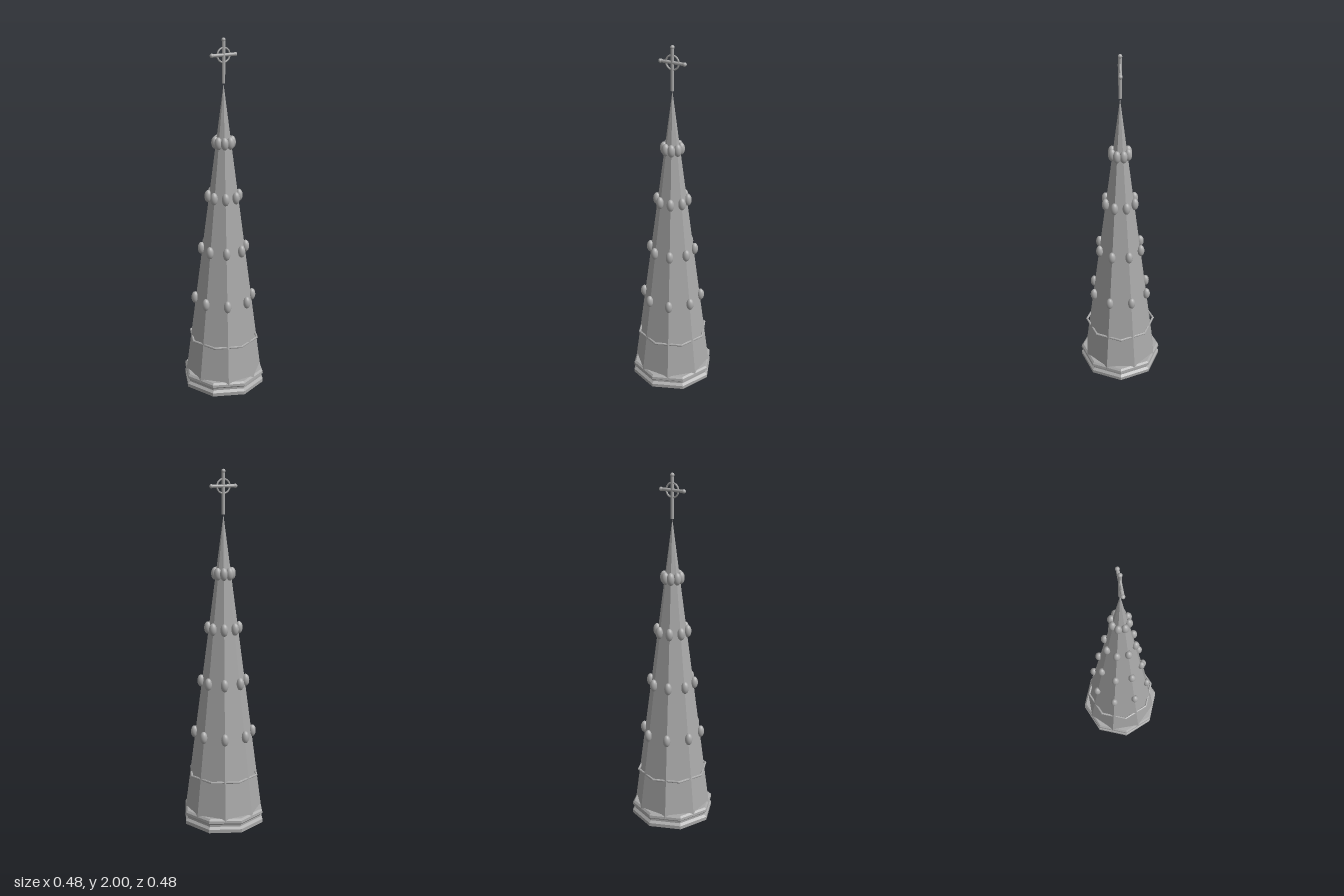
import * as THREE from 'three';

export function createModel() {
  const model = new THREE.Group();
  model.name = 'spire';

  const stone = new THREE.MeshStandardMaterial({ color: 0xa8a8a8 });
  stone.name = 'grey stone';
  const facetedStone = stone.clone();
  facetedStone.name = 'faceted grey stone';
  facetedStone.flatShading = true;

  const add = (name, geometry, material = stone, parent = model) => {
    const mesh = new THREE.Mesh(geometry, material);
    mesh.name = name;
    parent.add(mesh);
    return mesh;
  };

  // Moulded octagonal plinth, corners on the axes
  const plinthProfile = [
    [0, 0], [0.24, 0], [0.24, 0.02], [0.226, 0.032],
    [0.226, 0.044], [0.24, 0.056], [0.238, 0.07], [0.228, 0.08], [0, 0.08],
  ].map(([r, y]) => new THREE.Vector2(r, y));
  add('plinth', new THREE.LatheGeometry(plinthProfile, 8), facetedStone);

  // Octagonal tapering body, flat sides facing the axes
  const bodyBottom = 0.06, apex = 1.76, bodyRadius = 0.222;
  const body = new THREE.ConeGeometry(bodyRadius, apex - bodyBottom, 8, 1, false, Math.PI / 8);
  add('spireBody', body, facetedStone).position.y = (apex + bodyBottom) / 2;

  // Round finial cone around the tip
  add('tipCone', new THREE.ConeGeometry(0.039, 0.32, 24)).position.y = 1.6;

  // Thin octagonal band, crossing the body at its edges
  const band = new THREE.TorusGeometry(0.2, 0.007, 8, 8).rotateX(Math.PI / 2);
  add('bandCourse', band, facetedStone).position.y = 0.287;

  // Four tiers of egg-shaped knobs on the eight edges
  const knob = new THREE.SphereGeometry(0.021, 20, 14).scale(1, 1.67, 1);
  const knobs = new THREE.Group();
  knobs.name = 'edgeKnobs';
  model.add(knobs);
  for (const y of [0.53, 0.832, 1.137, 1.44]) {
    const r = bodyRadius * (apex - y) / (apex - bodyBottom) + 0.005;
    for (let i = 0; i < 8; i++) {
      const a = Math.PI / 8 + i * Math.PI / 4;
      add('edgeKnob', knob, stone, knobs).position.set(r * Math.sin(a), y, r * Math.cos(a));
    }
  }

  // Ringed cross with rounded ends
  const cross = new THREE.Group();
  cross.name = 'cross';
  cross.position.y = 1.91;
  model.add(cross);
  add('crossStaff', new THREE.CylinderGeometry(0.009, 0.009, 0.23, 12), stone, cross).position.y = -0.035;
  add('crossArms', new THREE.CylinderGeometry(0.009, 0.009, 0.15, 12).rotateZ(Math.PI / 2), stone, cross);
  add('crossRing', new THREE.TorusGeometry(0.038, 0.005, 8, 32), stone, cross);
  for (const [x, y] of [[0.071, 0], [-0.071, 0], [0, 0.079]]) {
    add('crossEnd', new THREE.SphereGeometry(0.0115, 14, 10), stone, cross).position.set(x, y, 0);
  }
  return model;
}
